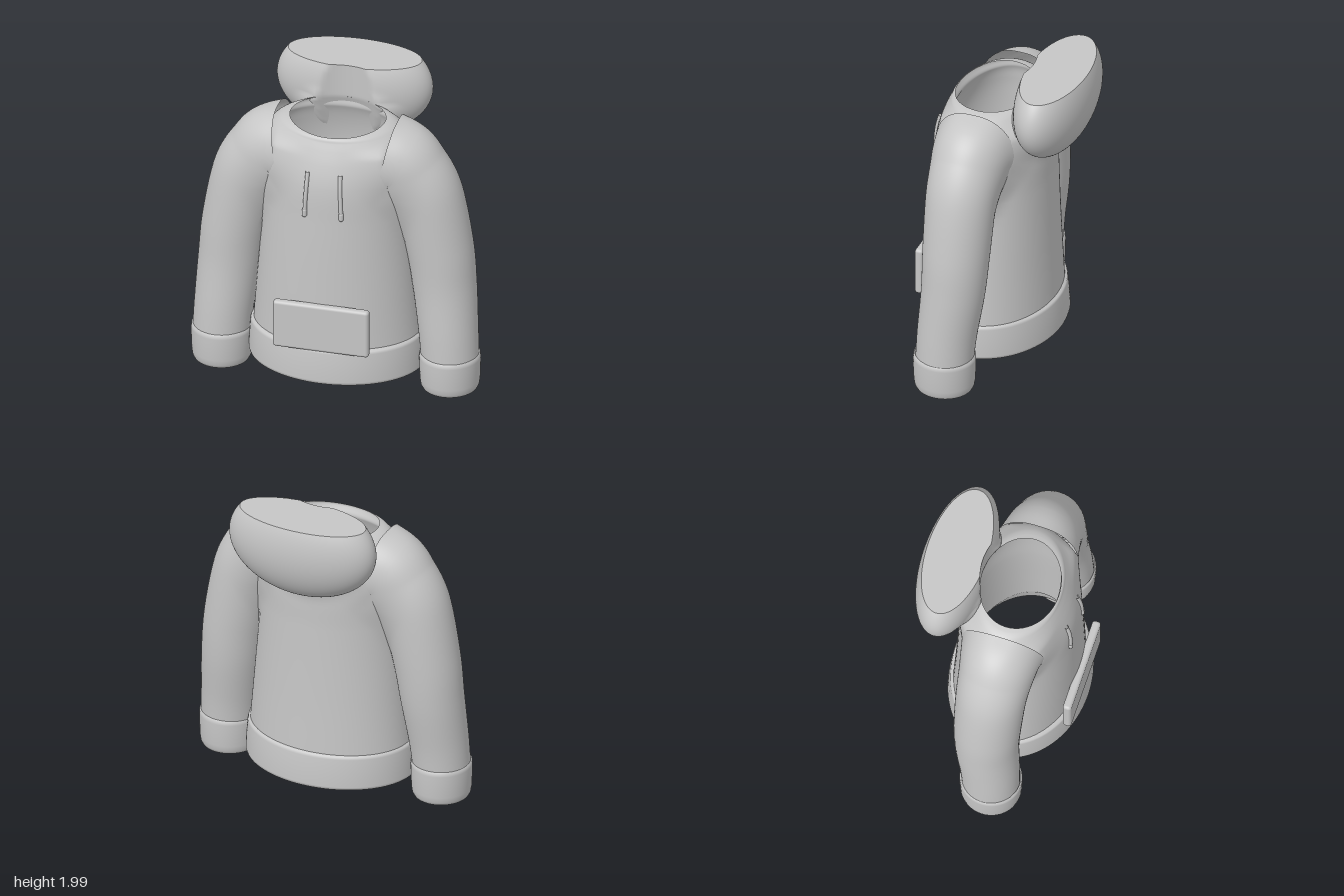
import * as THREE from 'three';
import { RoundedBoxGeometry } from 'three/addons/geometries/RoundedBoxGeometry.js';

const fabric = new THREE.MeshStandardMaterial({ color: 0xc6c6c6, side: THREE.DoubleSide });
fabric.name = 'grey fabric';

const V = (x, y, z) => new THREE.Vector3(x, y, z);
const smooth = (x, a, b) => THREE.MathUtils.smoothstep(x, a, b);

// Smooth curve through rows of numbers, each row starting with its parameter
function track(rows) {
  const n = rows[0].length - 1;
  const curve = new THREE.CubicInterpolant(rows.map(r => r[0]), rows.flatMap(r => r.slice(1)), n, new Float64Array(n));
  const lo = rows[0][0], hi = rows[rows.length - 1][0];
  return t => Array.from(curve.evaluate(THREE.MathUtils.clamp(t, lo, hi)));
}

// Closed rings joined into a smooth skin; point(row, angle) gives each vertex
function loft(name, rows, segs, point) {
  const pos = [], index = [];
  rows.forEach((row, r) => {
    for (let j = 0; j < segs; j++) {
      pos.push(...point(row, (j / segs) * Math.PI * 2).toArray());
      if (r === rows.length - 1) continue;
      const a = r * segs + j, d = r * segs + (j + 1) % segs;
      index.push(a, a + segs, d + segs, a, d + segs, d);
    }
  });
  const geo = new THREE.BufferGeometry();
  geo.setAttribute('position', new THREE.Float32BufferAttribute(pos, 3));
  geo.setIndex(index);
  geo.computeVertexNormals();
  const mesh = new THREE.Mesh(geo, fabric);
  mesh.name = name;
  return mesh;
}

// n values between each pair of neighbouring stops
function subdivide(stops, n) {
  const out = [];
  for (let i = 0; i < stops.length - 1; i++)
    for (let k = 0; k < n; k++) out.push(stops[i] + (stops[i + 1] - stops[i]) * k / n);
  return [...out, stops[stops.length - 1]];
}

// Torso sections: height, half width, centre z, half depth
const TORSO = [
  [0.33, 0.53, 0.095, 0.395], [0.7, 0.5, 0.1, 0.385], [1.2, 0.46, 0.1, 0.373], [1.45, 0.45, 0.095, 0.365],
  [1.6, 0.44, 0.09, 0.333], [1.7, 0.42, 0.09, 0.297], [1.75, 0.38, 0.095, 0.27], [1.772, 0.335, 0.1, 0.255],
  [1.78, 0.3, 0.1, 0.245],
];
const torsoAt = track(TORSO);

// Sleeve sections: parameter, centre x, y, z, radius
const SLEEVE = [
  [0, 0.34, 1.555, 0.1, 0.222], [1, 0.42, 1.54, 0.1, 0.225], [2, 0.475, 1.485, 0.1, 0.225],
  [3, 0.572, 1.316, 0.1, 0.22], [4, 0.65, 0.97, 0.1, 0.21], [5, 0.685, 0.7, 0.107, 0.199],
  [6, 0.715, 0.4, 0.135, 0.186], [7, 0.73, 0.2, 0.147, 0.18],
];
const sleeveAt = track(SLEEVE);
const sleeveBalls = subdivide(SLEEVE.map(s => s[0]), 10).map(sleeveAt);

const HOOD = { c: V(0, 1.82, -0.31), r: V(0.495, 0.35, 0.22), top: 2 };

// Approximate distances to each part, used to soften the joins
function torsoDistance(p) {
  const [rx, cz, rz] = torsoAt(p.y);
  const d = (Math.hypot(p.x / rx, (p.z - cz) / rz) - 1) * Math.min(rx, rz);
  return p.y > 1.78 ? Math.hypot(Math.max(d, 0), p.y - 1.78) : d;
}
function sleeveDistance(p) {
  const x = Math.abs(p.x);
  return Math.min(...sleeveBalls.map(([a, b, c, r]) => Math.hypot(x - a, p.y - b, p.z - c) - r));
}
function hoodDistance(p) {
  const q = p.clone().sub(HOOD.c).divide(HOOD.r), k = q.length();
  return k * (k - 1) / Math.max(q.divide(HOOD.r).length(), 0.01);
}
const fillet = (d, k) => (k > 0 ? k / 4 * Math.max(0, 1 - Math.abs(d) / k) ** 2 : 0);
const armpit = y => 0.17 * smooth(y, 0.95, 1.35);

// Point on the torso; the neck rim dips at the front
function torsoPoint(y, a, inset) {
  const [rx, cz, rz] = torsoAt(y), s = Math.sin(a);
  const dip = 0.025 * Math.max(0, s) ** 2 * smooth(y, 1.5, 1.78);
  return V((rx - inset) * Math.cos(a), y - dip, cz + (rz - inset) * s);
}

function makeTorso() {
  const rows = subdivide(TORSO.map(t => t[0]), 9);
  const outer = loft('torso', rows, 120, (y, a) => {
    const p = torsoPoint(y, a, 0);
    const push = fillet(sleeveDistance(p), armpit(y)) + fillet(hoodDistance(p), 0.1);
    return p.addScaledVector(V(Math.cos(a), 0, Math.sin(a)), push * (1 - smooth(y, 1.64, 1.75)));
  });
  const lining = loft('lining', [...rows].reverse(), 96,
    (y, a) => torsoPoint(y, a, 0.05 * (1 - smooth(y, 1.7, 1.78))));
  return [outer, lining];
}

// Waistband, turned in at the bottom: height, half width, half depth
function makeHem() {
  const rows = [
    [0.36, 0.475, 0.34], [0.15, 0.525, 0.402], [0.126, 0.532, 0.41], [0.118, 0.542, 0.422], [0.122, 0.553, 0.434],
    [0.14, 0.557, 0.438], [0.24, 0.552, 0.431], [0.325, 0.546, 0.421], [0.342, 0.541, 0.416], [0.35, 0.525, 0.39],
  ];
  return loft('hemBand', rows, 96, ([y, rx, rz], a) => V(rx * Math.cos(a), y, 0.1 + rz * Math.sin(a)));
}

// One sleeve with its cuff, on the +x side
function makeSleeve() {
  const group = new THREE.Group();
  group.add(loft('sleeveTube', subdivide(SLEEVE.map(s => s[0]), 10), 64, (t, a) => {
    const [x, y, z, r] = sleeveAt(t);
    const A = sleeveAt(t - 0.05), B = sleeveAt(t + 0.05);
    const T = V(B[0] - A[0], B[1] - A[1], B[2] - A[2]).normalize();
    const e1 = V(-T.y, T.x, 0).normalize(), e2 = e1.clone().cross(T);
    const n = e1.multiplyScalar(Math.cos(a)).addScaledVector(e2, Math.sin(a));
    const p = V(x, y, z).addScaledVector(n, r);
    p.addScaledVector(n, fillet(torsoDistance(p), armpit(p.y)));
    // keep the sleeve out of the hollow torso
    const [rx, cz, rz] = torsoAt(p.y), w = (p.z - cz) / (rz - 0.04);
    if (p.y > 0.4) p.x = Math.max(p.x, (rx - 0.04) * Math.sqrt(Math.max(0, 1 - w * w)));
    return p;
  }));
  const cuff = [
    [0.25, 0.15], [0.06, 0.142], [0.03, 0.14], [0.012, 0.147], [0.008, 0.158], [0.016, 0.172], [0.035, 0.181],
    [0.07, 0.186], [0.15, 0.189], [0.22, 0.19], [0.24, 0.188], [0.25, 0.178],
  ];
  group.add(loft('cuff', cuff, 64, ([y, r], a) => V(0.728 + r * Math.cos(a), y, 0.147 + r * 1.03 * Math.sin(a))));
  return group;
}

// Hood hanging behind the neck: flat on top, hollowed along the neck opening
function hoodPoint(phi, a) {
  const c = Math.cos(phi), dir = V(c * Math.cos(a), Math.sin(phi), c * Math.sin(a));
  const p = dir.clone().multiply(HOOD.r).add(HOOD.c);
  const push = fillet(Math.min(torsoDistance(p), sleeveDistance(p)), 0.1) * (1 - smooth(p.y, 1.8, 1.9));
  p.addScaledVector(dir.divide(HOOD.r).normalize(), push);
  const depth = 0.245 + 0.35 * Math.max(0, 1.78 - p.y);
  if (Math.abs(p.x) < 0.3) p.z = Math.min(p.z, 0.1 - depth * Math.sqrt(1 - (p.x / 0.3) ** 2));
  return p;
}

function makeHood() {
  const rim = Math.asin((HOOD.top - HOOD.c.y) / HOOD.r.y);
  const shell = loft('hood', subdivide([-Math.PI / 2 + 0.001, rim], 48), 120, hoodPoint);
  const mid = V(0, HOOD.top, HOOD.c.z);
  const top = loft('hoodTop', [0, 0.5, 0.999], 120, (t, a) => hoodPoint(rim, a).lerp(mid, t));
  return [shell, top];
}

// Drawstring lying on the chest, thicker towards its end
function makeDrawstring(side) {
  const path = new THREE.CatmullRomCurve3([
    V(side * 0.104, 1.55, 0.432), V(side * 0.108, 1.45, 0.453), V(side * 0.113, 1.35, 0.46), V(side * 0.117, 1.255, 0.462),
  ]);
  const group = new THREE.Group();
  group.name = side > 0 ? 'leftDrawstring' : 'rightDrawstring';
  const cord = new THREE.Mesh(new THREE.TubeGeometry(path, 24, 0.013, 12), fabric);
  cord.name = 'cord';
  const tip = new THREE.Mesh(new THREE.CapsuleGeometry(0.016, 0.03, 6, 12), fabric);
  tip.name = 'cordTip';
  tip.position.set(side * 0.117, 1.275, 0.461);
  group.add(cord, tip);
  return group;
}

export function createModel() {
  const model = new THREE.Group();
  model.name = 'hoodedSweater';
  model.add(...makeTorso(), makeHem(), ...makeHood());

  for (const side of [1, -1]) {
    const sleeve = makeSleeve();
    sleeve.name = side > 0 ? 'leftSleeve' : 'rightSleeve';
    sleeve.scale.x = side;
    model.add(sleeve, makeDrawstring(side));
  }

  // Front pocket
  const pocket = new THREE.Mesh(new RoundedBoxGeometry(0.61, 0.32, 0.055, 4, 0.02), fabric);
  pocket.name = 'frontPocket';
  pocket.position.set(0, 0.495, 0.497);
  model.add(pocket);
  return model;
}
